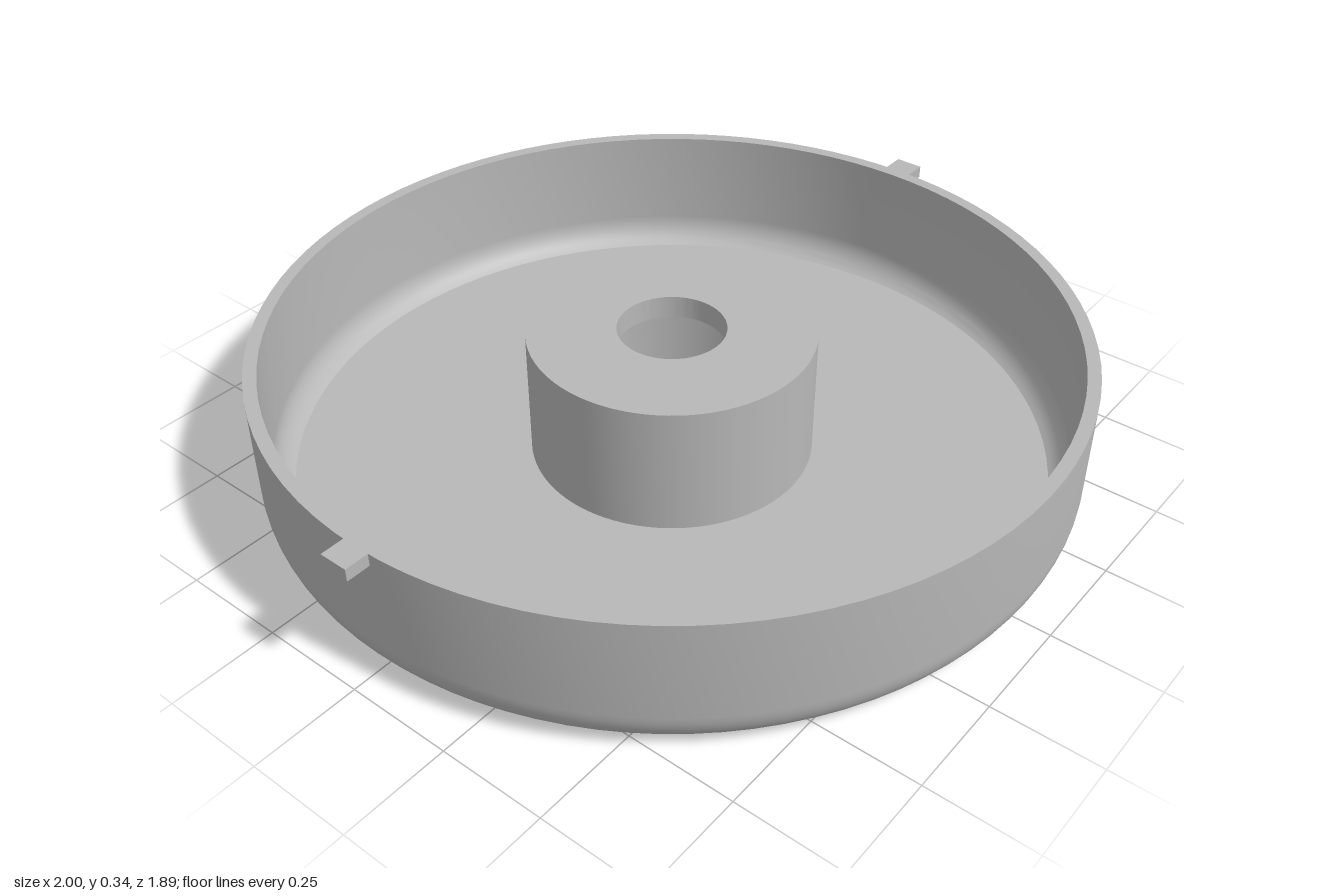
import * as THREE from 'three';
import { toCreasedNormals } from 'three/addons/utils/BufferGeometryUtils.js';

const HEIGHT = 0.34;
const FLOOR = 0.03;
const CORNER = { r: 0.835, y: 0.1 }; // shared centre of the inner and outer corner curves

// Rounded corner from the vertical wall (angle 0) down to the given height
function cornerArc(radius, bottomY, steps = 9) {
  const end = Math.asin((CORNER.y - bottomY) / radius);
  return Array.from({ length: steps + 1 }, (_, i) => {
    const a = (end * i) / steps;
    return [CORNER.r + radius * Math.cos(a), CORNER.y - radius * Math.sin(a)];
  });
}

export function createModel() {
  const model = new THREE.Group();
  const grey = new THREE.MeshStandardMaterial({ color: 0xb8b8b8 });
  grey.name = 'grey';

  // Dish: one closed section running along the underside, wall, floor, hub and bore
  const section = [
    [0.275, 0],
    ...cornerArc(0.11, 0).reverse(),
    [0.945, HEIGHT],
    [0.915, HEIGHT],
    ...cornerArc(0.08, FLOOR),
    [0.33, FLOOR],
    [0.33, HEIGHT],
    [0.125, HEIGHT],
    [0.125, 0.285],
    [0.275, 0.285],
    [0.275, 0],
  ].map(([r, y]) => new THREE.Vector2(r, y));
  const dish = new THREE.Mesh(toCreasedNormals(new THREE.LatheGeometry(section, 96), 0.3), grey);
  dish.name = 'dishWithHub';
  model.add(dish);

  // Small locking tabs on both sides of the rim
  for (const side of [1, -1]) {
    const tab = new THREE.Mesh(new THREE.BoxGeometry(0.06, 0.03, 0.068), grey);
    tab.name = side > 0 ? 'leftTab' : 'rightTab';
    tab.position.set(side * 0.97, HEIGHT - 0.015, 0);
    model.add(tab);
  }
  return model;
}
